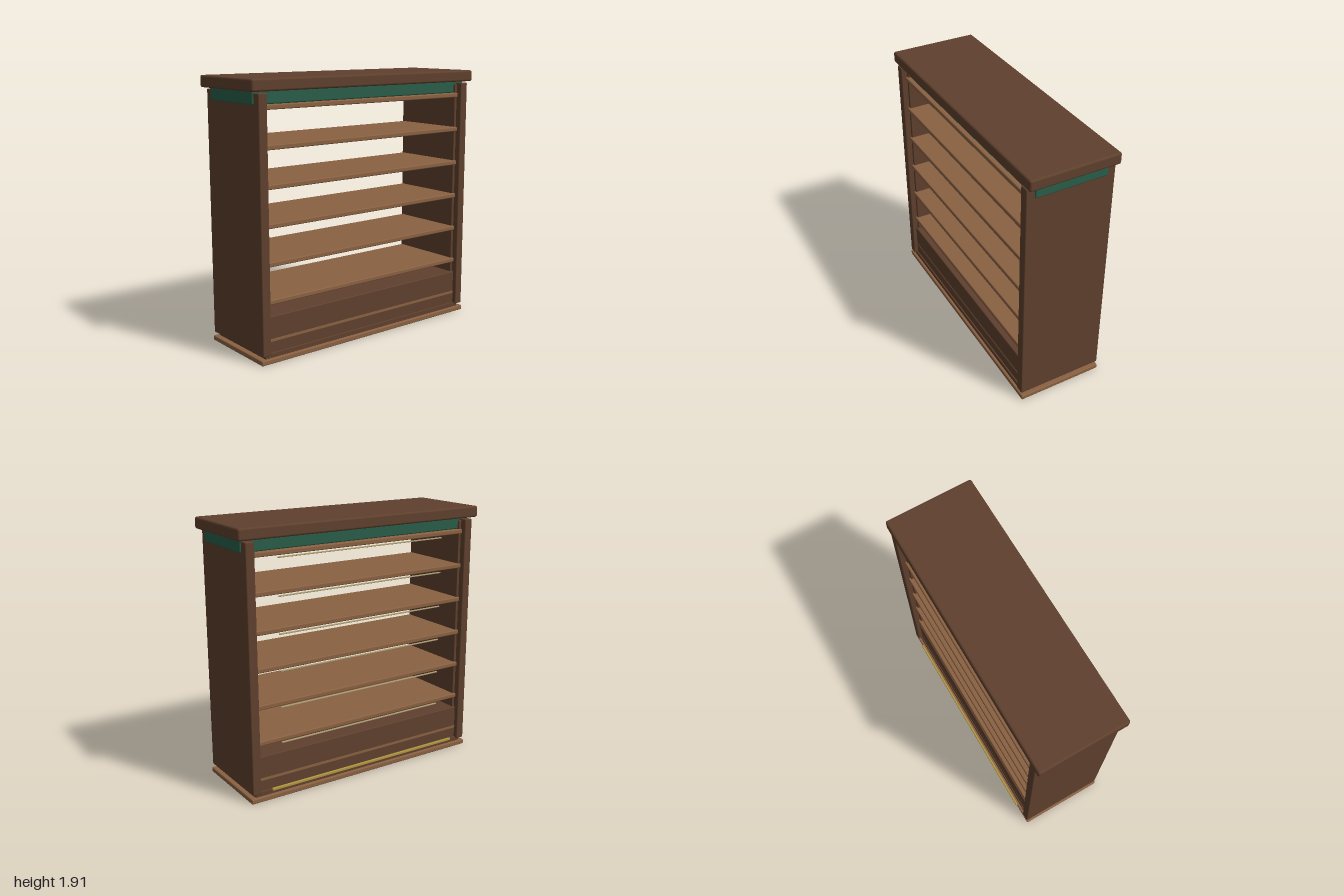
import * as THREE from 'three';
import { RoundedBoxGeometry } from 'three/addons/geometries/RoundedBoxGeometry.js';

const material = (name, color) => {
  const m = new THREE.MeshStandardMaterial({ color });
  m.name = name;
  return m;
};

export function createModel() {
  const darkWood = material('dark wood', 0x5f402d);
  const lightWood = material('light wood', 0x8a6142);
  const green = material('green fascia', 0x2a5e49);
  const brass = material('brass', 0xb09540);
  const strip = material('shelf strip', 0xb0a078);

  const group = new THREE.Group();
  const MID = 0.005; // centre of the cabinet's depth

  // Rounded box given by its x centre, width, bottom, top, depth and z centre
  const box = (name, mat, x, w, y0, y1, d, r = 0.008, z = MID) => {
    const mesh = new THREE.Mesh(new RoundedBoxGeometry(w, y1 - y0, d, 2, r), mat);
    mesh.position.set(x, (y0 + y1) / 2, z);
    mesh.name = name;
    group.add(mesh);
  };

  // Base, plinth and top
  box('baseBoard', lightWood, 0, 1.92, 0, 0.036, 0.65);
  box('plinth', darkWood, 0, 1.84, 0.03, 0.07, 0.61, 0.004);
  box('topBoard', darkWood, 0, 2, 1.832, 1.915, 0.66, 0.015);
  box('fascia', green, 0, 1.92, 1.745, 1.84, 0.53, 0.01);

  // Side panels with thin inner liners
  for (const s of [-1, 1]) {
    box('sidePanel', darkWood, s * 0.917, 0.066, 0.06, 1.822, 0.65);
    box('sideLiner', darkWood, s * 0.876, 0.026, 0.062, 1.81, 0.56, 0.004);
  }

  // Closed lower chest with its light band
  box('lowerChest', darkWood, 0, 1.77, 0.06, 0.325, 0.59);
  box('chestBand', lightWood, 0, 1.77, 0.143, 0.168, 0.591, 0.004);

  // Shelves, each with a slim strip below its back edge
  for (let i = 0; i < 6; i++) {
    const y = 0.404 + i * 0.2615;
    box('shelf', lightWood, 0, 1.77, y, y + 0.034, 0.59);
    box('shelfStrip', strip, 0, 1.385, y - 0.02, y - 0.011, 0.012, 0.002, -0.275);
  }

  // Low rail behind the cabinet
  box('backRail', brass, 0, 1.61, 0.07, 0.09, 0.016, 0.004, -0.327);

  return group;
}
